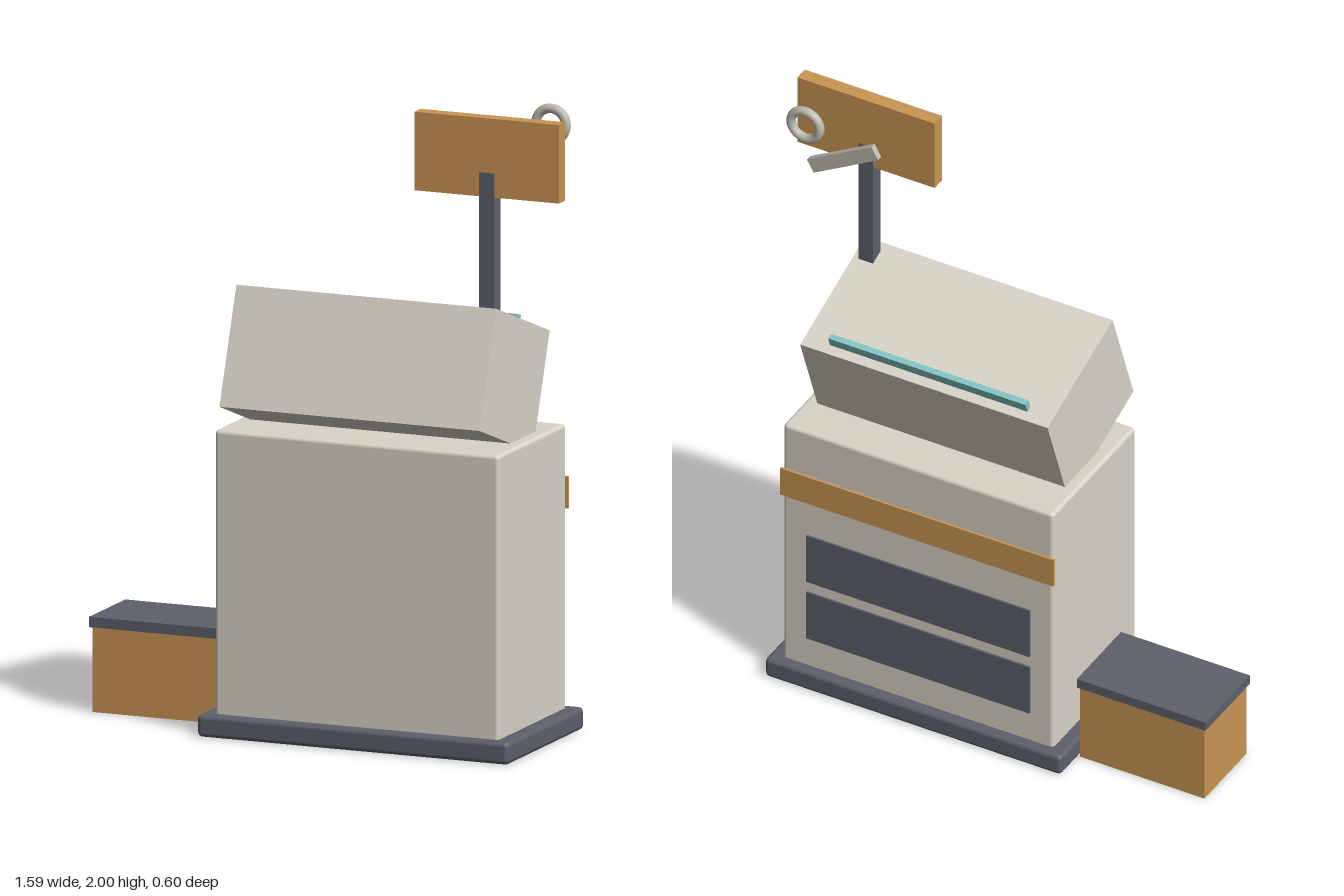
import * as THREE from 'three';
import { RoundedBoxGeometry } from 'three/addons/geometries/RoundedBoxGeometry.js';

const material = (name, color) => {
  const m = new THREE.MeshStandardMaterial({ color });
  m.name = name;
  return m;
};

export function createModel() {
  const cream = material('cream', 0xd9d4c7);
  const slate = material('slate', 0x5d606b);
  const orange = material('orange', 0xca9553);
  const teal = material('teal', 0x84c6c8);
  const metal = material('metal', 0xbfbbb0);

  const model = new THREE.Group();
  model.name = 'counterKiosk';

  const add = (parent, name, geometry, mat) => {
    const mesh = new THREE.Mesh(geometry, mat);
    mesh.name = name;
    parent.add(mesh);
    return mesh;
  };
  // Box given by its limits on each axis; a bevel rounds its edges
  const box = (name, mat, [x0, x1], [y0, y1], [z0, z1], bevel = 0, parent = model) => {
    const size = [x1 - x0, y1 - y0, z1 - z0];
    const geometry = bevel
      ? new RoundedBoxGeometry(...size, 2, bevel)
      : new THREE.BoxGeometry(...size);
    const mesh = add(parent, name, geometry, mat);
    mesh.position.set((x0 + x1) / 2, (y0 + y1) / 2, (z0 + z1) / 2);
    return mesh;
  };

  // Plinth and cabinet
  box('plinth', slate, [-0.355, 0.68], [0, 0.07], [-0.3, 0.283], 0.015);
  box('cabinet', cream, [-0.31, 0.635], [0.01, 0.955], [-0.265, 0.25], 0.013);

  // Trim band and drawer panels on the back of the cabinet
  box('trimBand', orange, [-0.315, 0.64], [0.69, 0.79], [-0.273, -0.264]);
  for (const y of [0.175, 0.39]) {
    box('backPanel', slate, [-0.23, 0.55], [y, y + 0.175], [-0.272, -0.264]);
  }

  // Tilted console with a narrow glass strip along its rear edge
  const console = new THREE.Group();
  console.name = 'console';
  console.position.set(0.1625, 1.145, 0.0375);
  console.rotation.x = -Math.PI / 9;
  model.add(console);
  box('consoleBody', cream, [-0.4325, 0.4325], [-0.189, 0.189], [-0.215, 0.215], 0, console);
  box('glassStrip', teal, [-0.345, 0.345], [0.17, 0.224], [-0.183, -0.164], 0, console);

  // Sign on a post
  box('post', slate, [0.525, 0.575], [1.25, 1.81], [0.099, 0.147]);
  box('signBoard', orange, [0.31, 0.79], [1.735, 1.98], [0.1, 0.146]);

  // Ring and sloping bar behind the sign
  const ring = add(model, 'ring', new THREE.TorusGeometry(0.05, 0.015, 12, 32), metal);
  ring.position.set(0.68, 1.935, -0.045);
  const bar = add(model, 'bar', new THREE.BoxGeometry(0.26, 0.048, 0.02), metal);
  bar.position.set(0.545, 1.857, -0.045);
  bar.rotation.z = -Math.PI / 6;

  // Side bin with a lid
  box('bin', orange, [-0.792, -0.358], [0, 0.265], [-0.183, 0.078]);
  box('binLid', slate, [-0.8, -0.35], [0.265, 0.297], [-0.19, 0.085]);

  return model;
}
